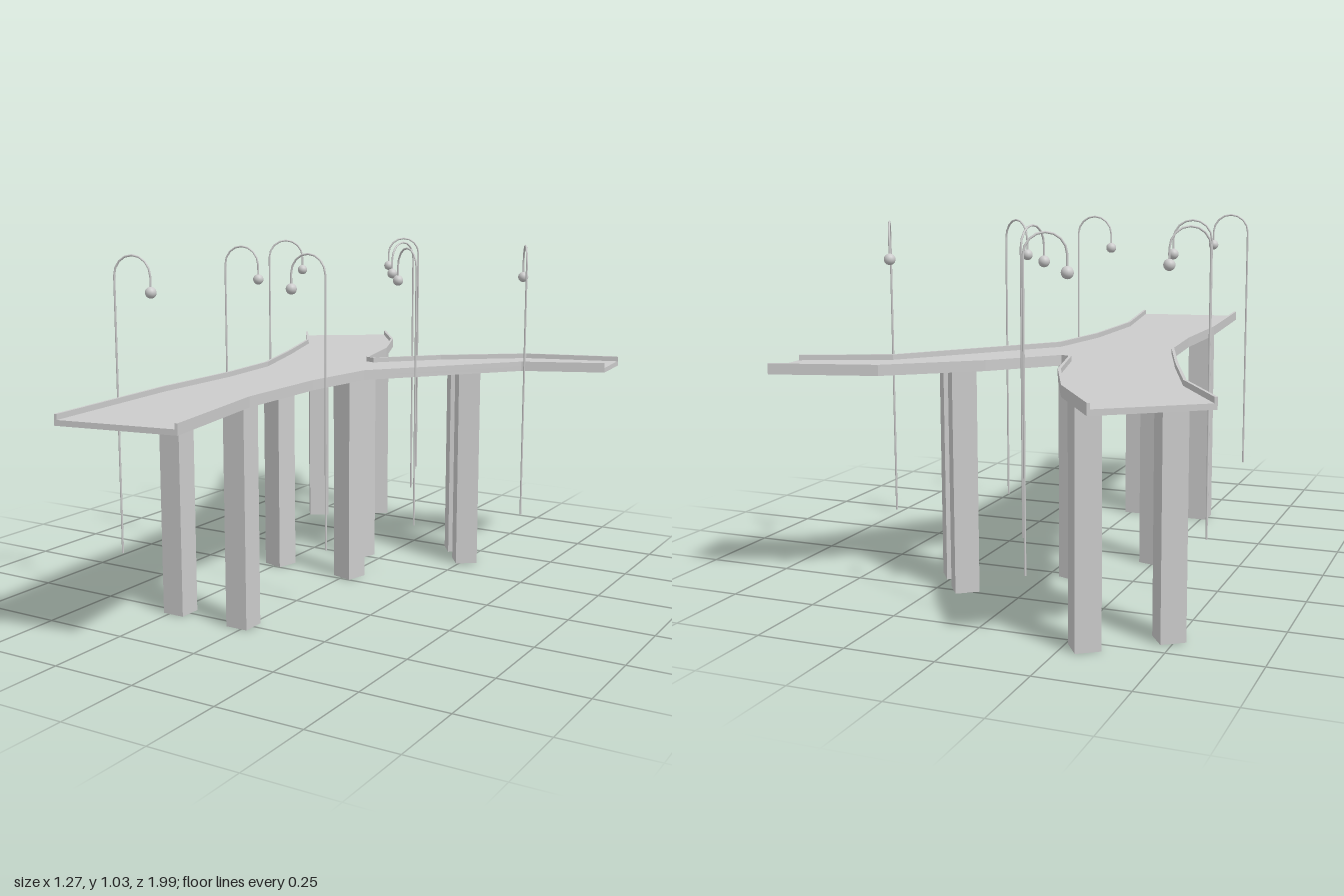
import * as THREE from 'three';

const DECK_BOTTOM = 0.625, DECK_TOP = 0.64, CURB_TOP = 0.655, CURB_WIDTH = 0.008;

// Edges of the forked deck as [x, z], running clockwise seen from above
const leftEdge = [[-0.23, 0.99], [-0.26, 0.67], [-0.275, 0.51], [-0.28, 0.19],
  [-0.305, -0.05], [-0.4, -0.33], [-0.505, -0.61], [-0.64, -0.82]];
const forkEdge = [[-0.39, -1], [-0.245, -0.79], [-0.14, -0.55], [-0.08, -0.32],
  [-0.055, -0.31], [0.1, -0.48], [0.33, -0.66], [0.62, -0.74]];
const rightEdge = [[0.635, -0.565], [0.395, -0.465], [0.06, -0.045],
  [0.03, 0.2], [0.035, 0.53], [0.11, 0.935]];

// Pillars: x, z, turn in degrees
const pillars = [
  [-0.235, 0.502, 0], [-0.015, 0.502, 0],
  [-0.25, -0.043, -15], [0.008, -0.043, -15],
  [-0.077, -0.26, -18],
  [-0.482, -0.655, 35], [-0.305, -0.787, 35],
  [0.25, -0.375, -54], [0.17, -0.482, -54],
];

// Lamps: pole x, z, then bulb x, z
const lamps = [
  [-0.163, -0.825, -0.252, -0.765], [-0.495, -0.36, -0.4, -0.42],
  [-0.388, 0.045, -0.275, 0.03], [-0.362, 0.597, -0.25, 0.58],
  [0.12, 0.28, 0.008, 0.28], [0.21, -0.09, 0.115, -0.152],
  [0.44, -0.38, 0.386, -0.483], [-0.025, -0.52, -0.045, -0.41],
];

// Flat slab from an [x, z] outline between two heights
function slab(points, y0, y1) {
  const shape = new THREE.Shape(points.map(([x, z]) => new THREE.Vector2(x, -z)));
  const geo = new THREE.ExtrudeGeometry(shape, { depth: y1 - y0, bevelEnabled: false });
  return geo.rotateX(-Math.PI / 2).translate(0, y0, 0);
}

// Inward offset of an edge with mitred corners
function inset(edge, d) {
  const normal = (a, b) => {
    const dx = b[0] - a[0], dz = b[1] - a[1], l = Math.hypot(dx, dz);
    return [-dz / l, dx / l];
  };
  return edge.map((p, i) => {
    const n1 = normal(edge[Math.max(i - 1, 0)], edge[Math.max(i, 1)]);
    const last = edge.length - 1;
    const n2 = normal(edge[Math.min(i, last - 1)], edge[Math.min(i + 1, last)]);
    const k = d / (1 + n1[0] * n2[0] + n1[1] * n2[1]);
    return [p[0] + (n1[0] + n2[0]) * k, p[1] + (n1[1] + n2[1]) * k];
  });
}

export function createModel() {
  const model = new THREE.Group();
  model.name = 'forkedFootbridge';
  const flat = new THREE.MeshStandardMaterial({ color: 0xcccccc, flatShading: true });
  const smooth = new THREE.MeshStandardMaterial({ color: 0xcccccc });

  const add = (parent, name, geo, mat = flat) => {
    const mesh = new THREE.Mesh(geo, mat);
    mesh.name = name;
    parent.add(mesh);
    return mesh;
  };

  // Deck and the low curbs along its sides; the three ends stay open
  add(model, 'deck', slab([...leftEdge, ...forkEdge, ...rightEdge], DECK_BOTTOM, DECK_TOP));
  const curbs = { leftCurb: leftEdge, forkCurb: forkEdge, rightCurb: rightEdge };
  for (const [name, edge] of Object.entries(curbs)) {
    const strip = [...edge, ...inset(edge, CURB_WIDTH).reverse()];
    add(model, name, slab(strip, DECK_TOP, CURB_TOP));
  }

  // Square pillars
  const pillarGeo = new THREE.BoxGeometry(0.068, DECK_BOTTOM, 0.068);
  pillars.forEach(([x, z, turn], i) => {
    const pillar = add(model, `pillar${i + 1}`, pillarGeo);
    pillar.position.set(x, DECK_BOTTOM / 2, z);
    pillar.rotation.y = THREE.MathUtils.degToRad(turn);
  });

  // Hooked lamps leaning in over the deck
  const r = 0.003, foot = 0.18, bend = 0.965, bulbY = 0.922;
  const rod = (y0, y1, x) =>
    new THREE.CylinderGeometry(r, r, y1 - y0, 8).translate(x, (y0 + y1) / 2, 0);
  lamps.forEach(([px, pz, bx, bz], i) => {
    const lamp = new THREE.Group();
    lamp.name = `lamp${i + 1}`;
    lamp.position.set(px, 0, pz);
    lamp.rotation.y = Math.atan2(pz - bz, bx - px);
    const reach = Math.hypot(bx - px, bz - pz);
    add(lamp, 'pole', rod(foot, bend, 0), smooth);
    const hook = new THREE.TorusGeometry(reach / 2, r, 8, 8, Math.PI);
    add(lamp, 'hook', hook.translate(reach / 2, bend, 0), smooth);
    add(lamp, 'drop', rod(bulbY, bend, reach), smooth);
    add(lamp, 'bulb', new THREE.SphereGeometry(0.016, 16, 12).translate(reach, bulbY, 0), smooth);
    model.add(lamp);
  });

  return model;
}
